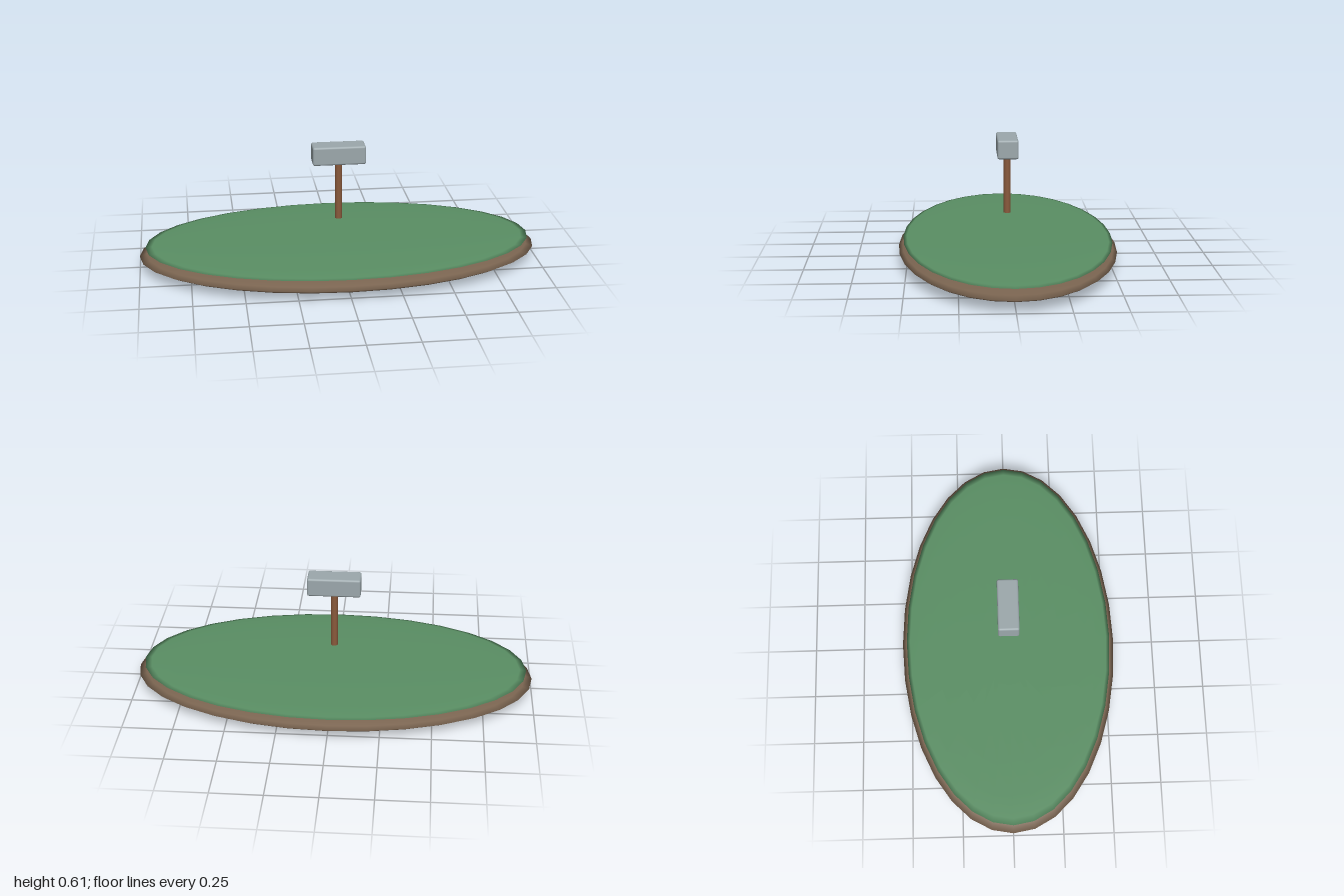
import * as THREE from 'three';
import { RoundedBoxGeometry } from 'three/addons/geometries/RoundedBoxGeometry.js';

function material(name, color) {
  const m = new THREE.MeshStandardMaterial({ color });
  m.name = name;
  return m;
}

export function createModel() {
  const group = new THREE.Group();
  const earth = material('earth brown', 0x7a6450);
  const grass = material('grass green', 0x5a8f64);
  const wood = material('wood brown', 0x8a5a3c);
  const steel = material('steel grey', 0x9ca8ac);

  const add = (name, geometry, mat, y) => {
    const mesh = new THREE.Mesh(geometry, mat);
    mesh.name = name;
    mesh.position.y = y;
    group.add(mesh);
    return mesh;
  };

  // Flattened ellipsoid mound and the thin turf lying on it
  const disc = (name, mat, y, rx, ry, rz) =>
    add(name, new THREE.SphereGeometry(1, 32, 12), mat, y).scale.set(rx, ry, rz);
  disc('earthMound', earth, 0.058, 1, 0.058, 0.545);
  disc('turf', grass, 0.104, 0.97, 0.016, 0.522);

  // Hammer hovering upright over the turf
  add('hammerHandle', new THREE.CylinderGeometry(0.0178, 0.0178, 0.32, 12), wood, 0.38);
  add('hammerHead', new RoundedBoxGeometry(0.264, 0.094, 0.104, 2, 0.01), steel, 0.561);

  return group;
}
